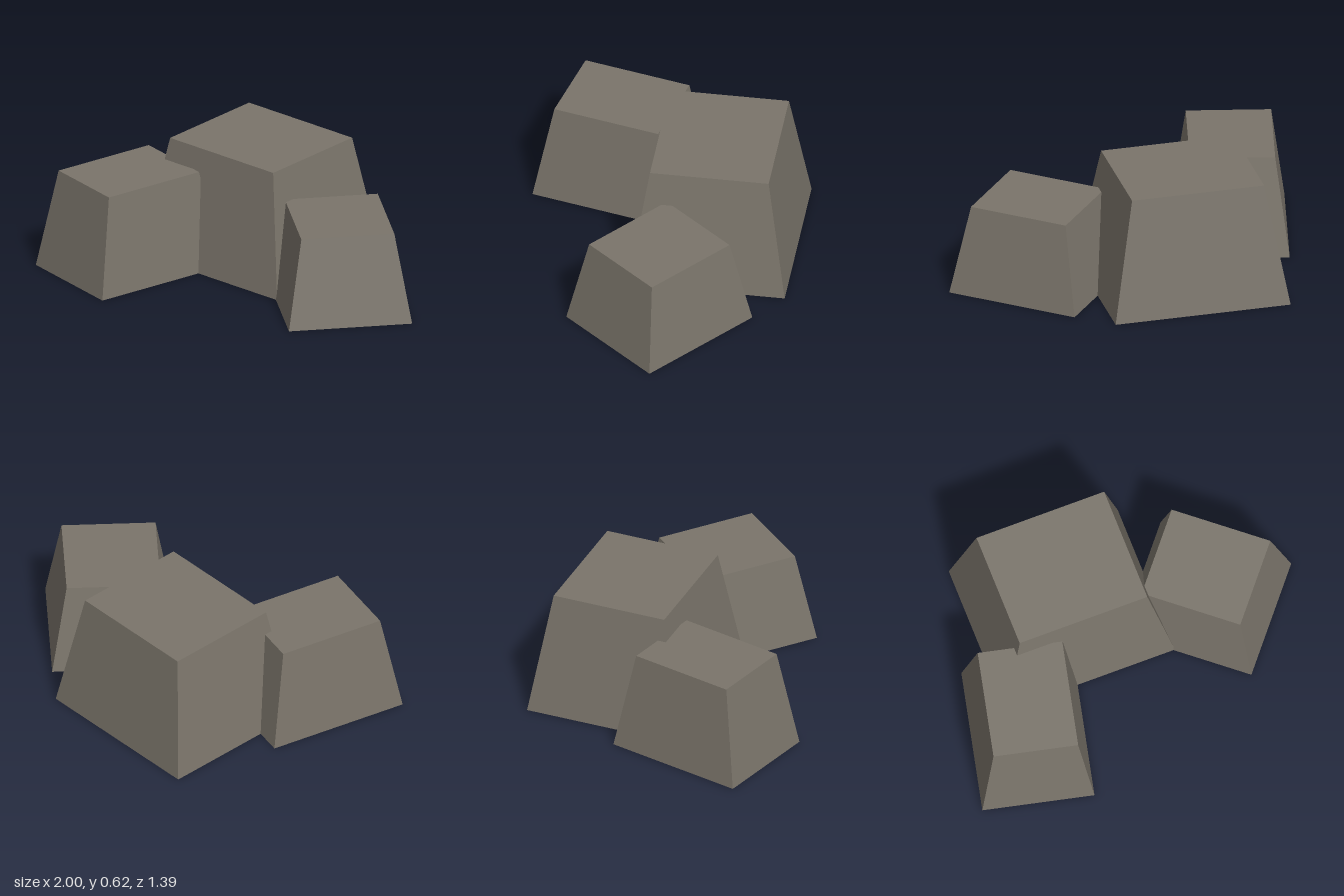
import * as THREE from 'three';

const TAPER = 0.755; // top size relative to the base

// Box standing on y = 0 whose top face is drawn inwards
function taperedBlock(width, height, depth) {
  const geometry = new THREE.BoxGeometry(width, height, depth);
  geometry.translate(0, height / 2, 0);
  const p = geometry.attributes.position;
  for (let i = 0; i < p.count; i++) {
    if (p.getY(i) > height / 2) {
      p.setX(i, p.getX(i) * TAPER);
      p.setZ(i, p.getZ(i) * TAPER);
    }
  }
  geometry.computeVertexNormals();
  return geometry;
}

export function createModel() {
  const group = new THREE.Group();
  group.name = 'rockCluster';
  const stone = new THREE.MeshStandardMaterial({ color: 0x7a746a });
  stone.name = 'stone';
  stone.flatShading = true;

  // name, size [w, h, d], position [x, z], turn in degrees
  const rocks = [
    ['largeRock', [0.9, 0.625, 0.79], [-0.09, -0.217], -12.2],
    ['rightRock', [0.563, 0.51, 0.733], [-0.59, 0.237], -25.1],
    ['leftRock', [0.62, 0.455, 0.685], [0.543, 0.123], 38.1],
  ];
  for (const [name, size, [x, z], turn] of rocks) {
    const rock = new THREE.Mesh(taperedBlock(...size), stone);
    rock.name = name;
    rock.position.set(x, 0, z);
    rock.rotation.y = THREE.MathUtils.degToRad(turn);
    group.add(rock);
  }
  return group;
}
